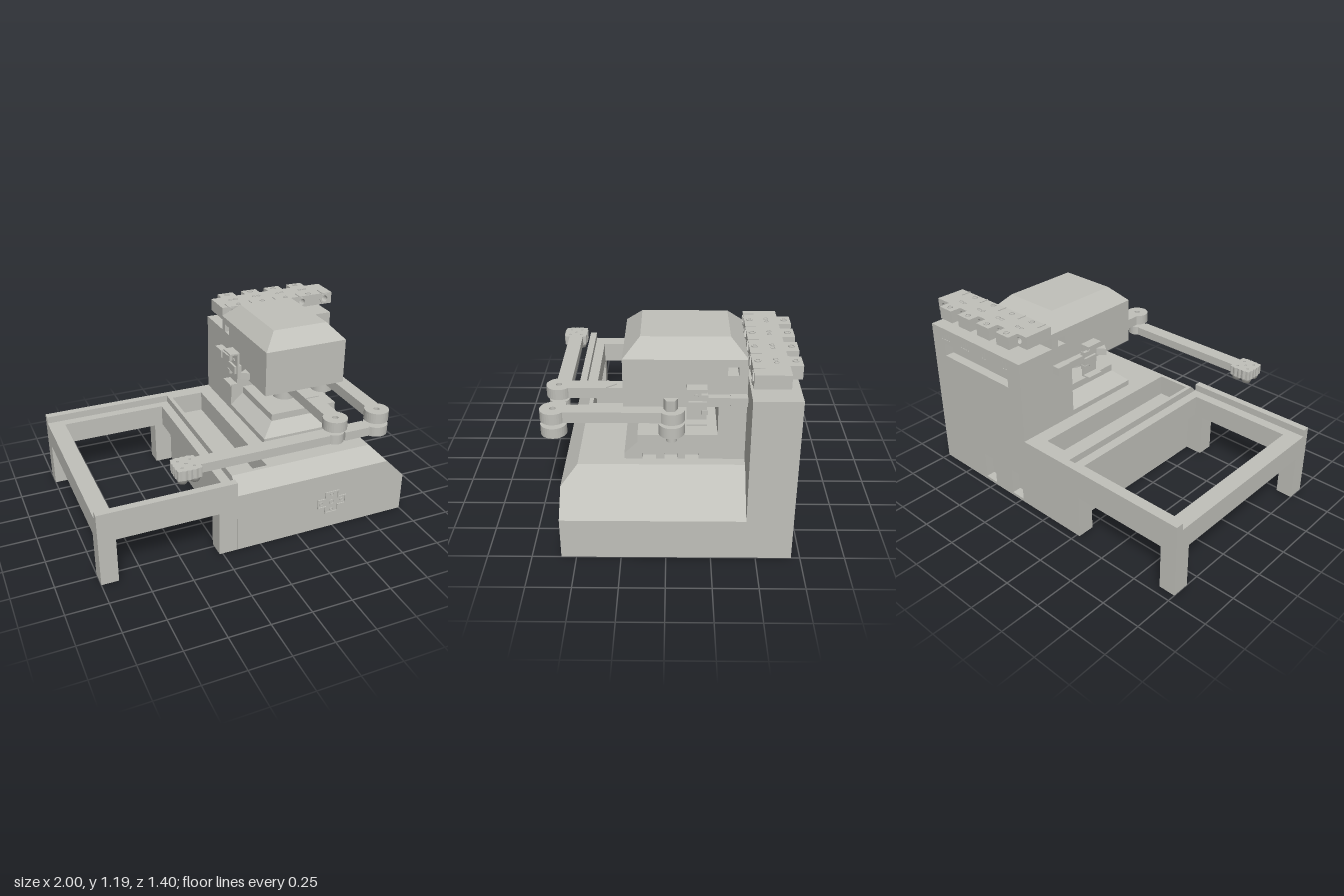
import * as THREE from 'three';

const grey = new THREE.MeshStandardMaterial({ color: 0xc0c0ba });
grey.name = 'warm grey';

export function createModel() {
  const root = new THREE.Group();
  const add = (name, geo) => {
    const m = new THREE.Mesh(geo, grey);
    m.name = name;
    root.add(m);
    return m;
  };
  // Box given by its limits
  const box = (name, x0, x1, y0, y1, z0, z1) =>
    add(name, new THREE.BoxGeometry(x1 - x0, y1 - y0, z1 - z0)
      .translate((x0 + x1) / 2, (y0 + y1) / 2, (z0 + z1) / 2));
  const poly = pts => new THREE.Shape(pts.map(p => new THREE.Vector2(...p)));
  const rect = (a, b, c, d) => poly([[a, c], [b, c], [b, d], [a, d]]);
  const circle = (x, y, r, n = 24, turn = 0) => poly(Array.from({ length: n }, (_, i) => {
    const a = turn + i / n * Math.PI * 2;
    return [x + r * Math.cos(a), y + r * Math.sin(a)];
  }));
  const cut = (shape, ...holes) => { shape.holes.push(...holes); return shape; };
  const extrude = (s, depth) => new THREE.ExtrudeGeometry(s, { depth, bevelEnabled: false });
  // Extrusions along each axis; shapes are (x,y), (x,z) and (z,y)
  const alongZ = (name, s, z0, z1) => add(name, extrude(s, z1 - z0).translate(0, 0, z0));
  const alongY = (name, s, y0, y1) => add(name, extrude(s, y1 - y0).rotateX(Math.PI / 2).translate(0, y1, 0));
  const alongX = (name, s, x0, x1) => add(name, extrude(s, x1 - x0).rotateY(-Math.PI / 2).translate(x1, 0, 0));
  const ring = (name, x, z, r, hole, y0, y1) =>
    alongY(name, cut(circle(x, z, r, 32), circle(x, z, hole, 16)), y0, y1);
  const disc = (name, x, z, r, y0, y1, n = 32) =>
    add(name, new THREE.CylinderGeometry(r, r, y1 - y0, n).translate(x, (y0 + y1) / 2, z));

  // Walls through rectangular loops [y, x0, x1, z0, z1], bottom to top
  const loft = (name, loops, { inward = false, top = false, bottom = false } = {}) => {
    const c = loops.map(([y, x0, x1, z0, z1]) => [[x0, y, z1], [x1, y, z1], [x1, y, z0], [x0, y, z0]]);
    const pos = [];
    const quad = (a, b, d, e) => (inward ? [a, d, b, a, e, d] : [a, b, d, a, d, e]).forEach(p => pos.push(...p));
    for (let i = 0; i + 1 < c.length; i++)
      for (let k = 0; k < 4; k++) {
        const n = (k + 1) % 4;
        quad(c[i][k], c[i][n], c[i + 1][n], c[i + 1][k]);
      }
    if (top) quad(...c[c.length - 1]);
    if (bottom) quad(...[...c[0]].reverse());
    const g = new THREE.BufferGeometry();
    g.setAttribute('position', new THREE.Float32BufferAttribute(pos, 3));
    g.computeVertexNormals();
    return add(name, g);
  };

  // Base housing with front and side chamfers
  const L = -0.155, B = -0.64;
  loft('baseWalls', [
    [0, L, 1, B, 0.585], [0.25, L, 1, B, 0.585],
    [0.385, L, 0.868, B, 0.585], [0.475, L, 0.78, B, 0.495],
  ]);
  add('baseTop', new THREE.ShapeGeometry(cut(rect(L, 0.78, -0.495, 0.64), rect(-0.13, 0.085, -0.47, 0.60)))
    .rotateX(-Math.PI / 2).translate(0, 0.475, 0));
  loft('trough', [[0.34, -0.13, 0.085, -0.60, 0.47], [0.475, -0.13, 0.085, -0.60, 0.47]],
    { inward: true, bottom: true });
  add('baseBottom', new THREE.ShapeGeometry(cut(rect(L, 1, B, 0.585), rect(0.2, 0.8, 0.17, 0.53)))
    .rotateX(Math.PI / 2));
  loft('lowerCompartment', [[0, 0.2, 0.8, 0.17, 0.53], [0.3, 0.2, 0.8, 0.17, 0.53]],
    { inward: true, top: true });

  // Rear column and perforated back panel
  box('column', 0.18, 1, 0, 1, B, -0.44);
  const vents = [];
  [[0.87, 4], [0.68, 4], [0.5, 2], [0.31, 2]].forEach(([x, n]) => {
    for (let i = 0; i < n; i++) {
      const v = x + (i - (n - 1) / 2) * 0.022;
      vents.push(rect(v - 0.006, v + 0.006, 0.925, 0.975));
    }
  });
  alongZ('backPanel', cut(poly([[L, 0], [1, 0], [1, 1], [0.18, 1], [0.18, 0.475], [L, 0.475]]),
    rect(0.29, 0.89, 0.81, 0.9), rect(0.49, 0.59, 0.02, 0.2), rect(0.23, 0.33, 0.02, 0.2), ...vents), -0.70, B);

  // Neck, stepped deck and head
  box('neck', 0.18, 0.72, 0.47, 0.82, -0.44, -0.285);
  loft('deck', [
    [0.47, 0.18, 0.68, -0.44, 0.235], [0.51, 0.18, 0.68, -0.44, 0.235],
    [0.585, 0.265, 0.68, -0.44, 0.16], [0.63, 0.265, 0.68, -0.44, 0.16],
  ], { top: true });
  const side = [[-0.44, 0.63], [-0.44, 0.475]];
  [-0.145, -0.027, 0.095].forEach(z => side.push([z - 0.038, 0.475], [z - 0.038, 0.51], [z - 0.028, 0.52],
    [z + 0.028, 0.52], [z + 0.038, 0.51], [z + 0.038, 0.475]));
  side.push([0.235, 0.475], [0.235, 0.51], [0.16, 0.585], [0.16, 0.63]);
  alongX('deckSide', poly(side), 0.68, 0.72);
  alongX('head', cut(rect(-0.44, 0.235, 0.81, 1.095), rect(-0.39, -0.33, 1.0, 1.05)), 0.18, 0.72);
  loft('headCap', [[1.095, 0.18, 0.72, -0.44, 0.235], [1.19, 0.27, 0.63, -0.345, 0.14]], { top: true });

  // Mirrored sensor brackets on the head sides
  for (const s of [-1, 1]) {
    const part = (name, a, b, ...r) => {
      const [p, q] = [0.45 + s * a, 0.45 + s * b];
      box(name, Math.min(p, q), Math.max(p, q), ...r);
    };
    part('bracketPlate', 0.29, 0.305, 0.74, 0.96, -0.22, -0.11);
    part('bracketTopFlange', 0.29, 0.355, 0.95, 0.96, -0.22, -0.11);
    part('bracketBottomFlange', 0.29, 0.355, 0.74, 0.75, -0.22, -0.11);
    part('bracketUpperTab', 0.29, 0.325, 0.88, 0.912, -0.225, -0.19);
    part('bracketLowerTab', 0.29, 0.325, 0.79, 0.82, -0.225, -0.19);
    part('bracketBlock', 0.27, 0.32, 0.815, 0.865, -0.22, -0.12);
    part('bracketRod', 0.27, 0.31, 0.845, 0.887, -0.35, -0.21);
    part('rodMount', 0.27, 0.32, 0.84, 0.89, -0.44, -0.345);
    for (const y of [0.805, 0.895]) {
      const d = disc('bracketScrew', 0, 0, 0.012, -0.003, 0.003, 16);
      d.rotation.z = Math.PI / 2;
      d.position.set(0.45 + s * 0.308, y, -0.163);
    }
  }
  alongY('leftPointer', poly([[0.13, -0.03], [0.18, -0.065], [0.18, 0.005]]), 0.82, 0.865);

  // Linkage: two parallel upper arms, pivots and long lower bar
  for (const x of [0.445, 0.725]) {
    box('upperArm', x - 0.045, x + 0.045, 0.735, 0.8, -0.03, 0.565);
    ring('upperJoint', x, 0.62, 0.073, 0.018, 0.735, 0.8);
    ring('lowerJoint', x, 0.62, x < 0.5 ? 0.058 : 0.073, 0.018, 0.65, 0.71);
    disc('armHub', x, -0.03, 0.073, 0.735, 0.8);
    disc('lowerHub', x, -0.03, 0.073, 0.65, 0.715);
    disc('pivotShaft', x, -0.03, 0.03, 0.6, 0.75);
    disc('hexShaft', x, -0.025, 0.04, 0.8, 0.865, 6);
  }
  alongY('armArrow', poly([[0.4, 0.345], [0.49, 0.345], [0.445, 0.285]]), 0.8, 0.806);
  box('lowerBar', -0.42, 0.395, 0.655, 0.71, 0.575, 0.665);
  box('lowerBarLink', 0.495, 0.66, 0.655, 0.71, 0.575, 0.665);

  // Scalloped gripper with four tapered lobes
  const gx = -0.485, gz = 0.625;
  const outline = Array.from({ length: 96 }, (_, i) => {
    const a = i / 96 * Math.PI * 2, c = Math.cos(a), s = Math.sin(a);
    const r = 0.077 / Math.pow(c ** 6 + s ** 6, 1 / 6) * (0.97 + 0.035 * Math.cos(16 * a));
    return [gx + r * c, gz + r * s];
  });
  const spots = [[-1, -1], [1, -1], [-1, 1], [1, 1]].map(([a, b]) => [gx + a * 0.036, gz + b * 0.036]);
  alongY('gripperHead', cut(poly(outline), ...[...spots, [gx, gz]].map(p => circle(...p, 0.008, 12))), 0.65, 0.71);
  spots.forEach(([x, z]) => add('gripperLobe', new THREE.LatheGeometry(
    [[0.008, 0.65], [0.008, 0.62], [0.026, 0.62], [0.037, 0.65]].map(p => new THREE.Vector2(...p)), 16)
    .translate(x, 0, z)));

  // Valve manifold above the column
  const ports = [0.245, 0.42, 0.595, 0.77, 0.945];
  alongZ('manifold', cut(rect(0.18, 1, 1.07, 1.148), ...ports.map(x => circle(x, 1.109, 0.022, 16))), -0.63, -0.44);
  ports.forEach((x, i) => {
    alongZ('portNut', cut(circle(x, 1.109, 0.038, 6), circle(x, 1.109, 0.022, 16)), -0.44, -0.434);
    box('manifoldRib', x - 0.024, x - 0.016, 1.148, 1.153, -0.50, -0.44);
    if (i === 4) return;
    const c = x + 0.065;
    box('valveBlock', c - 0.055, c + 0.055, 1.07, 1.148, -0.70, -0.63);
    for (const z of [-0.665, -0.47]) ring('valveScrew', c, z, 0.018, 0.01, 1.148, 1.154);
    for (const d of [-0.018, 0.018]) ring('valvePort', c + d, -0.565, 0.014, 0.009, 1.148, 1.152);
  });

  // Side table frame: rails, raised lips and legs
  alongY('frameRails', cut(rect(-1, L, -0.70, 0.585), rect(-0.895, -0.215, -0.59, 0.475)), 0.29, 0.43);
  box('frontLip', -1, L, 0.43, 0.475, 0.54, 0.585);
  box('backLip', -1, L, 0.43, 0.475, -0.70, -0.65);
  for (const [x0, x1] of [[-1, -0.895], [-0.27, -0.157]])
    for (const [z0, z1] of [[-0.70, -0.59], [0.475, 0.585]])
      box('frameLeg', x0, x1, 0, 0.29, z0, z1);

  // Cross-shaped socket on the front wall
  const cross = (w, h, a, b) => [[-w, -a], [-b, -a], [-b, -h], [b, -h], [b, -a], [w, -a],
    [w, a], [b, a], [b, h], [-b, h], [-b, a], [-w, a]].map(([x, y]) => [0.485 + x, 0.181 + y]);
  alongZ('crossFrame', cut(poly(cross(0.1, 0.078, 0.033, 0.048)), poly(cross(0.091, 0.069, 0.024, 0.039))), 0.585, 0.592);
  for (const [x, y, r] of [[0, 0, 0.019], [0, 0.055, 0.011], [0, -0.055, 0.011], [0.072, 0, 0.014], [-0.072, 0, 0.014]])
    alongZ('socketRing', cut(circle(0.485 + x, 0.181 + y, r, 16), circle(0.485 + x, 0.181 + y, r * 0.6, 16)), 0.585, 0.591);

  return root;
}
